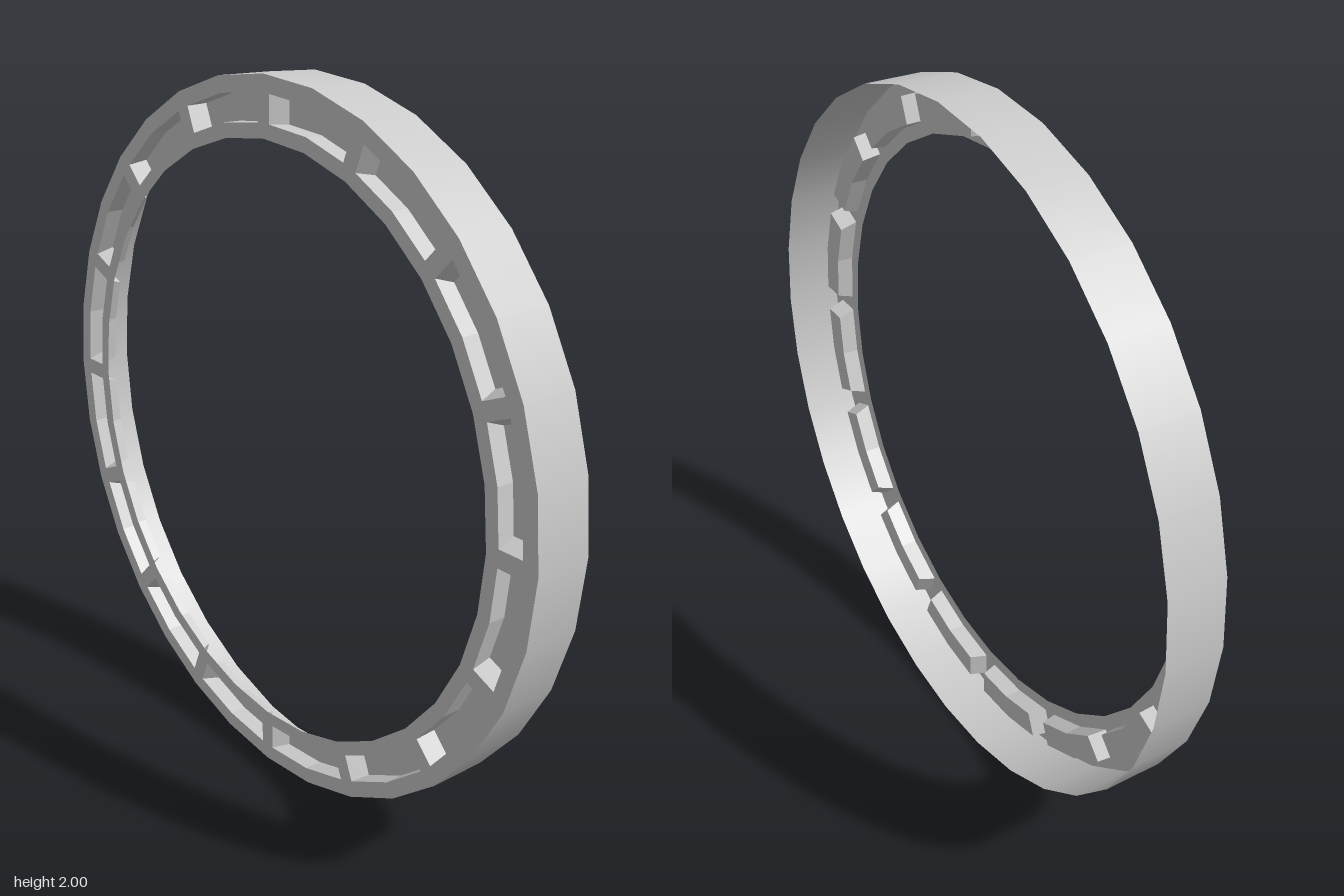
import * as THREE from 'three';

const SIDES = 32, STEP = (Math.PI * 2) / SIDES;
const HALF = 0.083;                   // half width of the ring along its axis
const R_OUT = 1, R_IN = 0.84;         // flange radii
const P_OUT = 0.955, P_IN = 0.88;     // pocket radii
const DEPTH = 0.05;                   // pocket depth
const BASE_GAP = 0.024, TOP_GAP = 0.042; // half gap between pockets at mouth and floor

const polar = (r, a) => new THREE.Vector2(r * Math.sin(a), r * Math.cos(a));
const polygon = (r) => Array.from({ length: SIDES }, (_, i) => polar(r, i * STEP));

// Six-cornered pocket outline, bent in the middle, with ends set off from the radial lines
function pocketOutline(gap, start) {
  const side = (r) => {
    const y = r - gap * Math.tan(STEP / 2);
    const len = Math.hypot(gap, y), a = Math.atan2(gap, y);
    return [polar(len, start + a), polar(r, start + STEP), polar(len, start + 2 * STEP - a)];
  };
  return [...side(P_OUT), ...side(P_IN).reverse()];
}

// Sloped walls between the mouth and floor outlines
function pocketWalls(base, top) {
  const pos = [];
  base.forEach((b, i) => {
    const j = (i + 1) % base.length;
    const p = [[b, 0], [top[i], DEPTH], [top[j], DEPTH], [base[j], 0]];
    for (const k of [0, 1, 2, 0, 2, 3]) pos.push(p[k][0].x, p[k][0].y, p[k][1]);
  });
  const g = new THREE.BufferGeometry();
  g.setAttribute('position', new THREE.Float32BufferAttribute(pos, 3));
  g.computeVertexNormals();
  return g;
}

export function createModel() {
  const smooth = new THREE.MeshStandardMaterial({ color: 0xcccccc, side: THREE.DoubleSide });
  const flat = new THREE.MeshStandardMaterial({ color: 0xcccccc, side: THREE.DoubleSide, flatShading: true });
  const ring = new THREE.Group();
  ring.name = 'ring';
  const add = (parent, name, geometry, material) => {
    const mesh = new THREE.Mesh(geometry, material);
    mesh.name = name;
    parent.add(mesh);
    return mesh;
  };

  // Open outer band
  const band = new THREE.CylinderGeometry(R_OUT, R_OUT, HALF * 2, SIDES, 1, true);
  band.rotateX(Math.PI / 2);
  add(ring, 'outerBand', band, smooth);

  // Flange on one side, pierced by the pocket mouths
  const flange = new THREE.Shape(polygon(R_OUT));
  flange.holes.push(new THREE.Path(polygon(R_IN)));

  // Pockets pressed inward from the flange
  for (let i = 0; i < SIDES / 2; i++) {
    const base = pocketOutline(BASE_GAP, i * 2 * STEP);
    const top = pocketOutline(TOP_GAP, i * 2 * STEP);
    flange.holes.push(new THREE.Path(base));
    const pocket = new THREE.Group();
    pocket.name = 'pocket';
    pocket.position.z = -HALF;
    add(pocket, 'pocketWalls', pocketWalls(base, top), flat);
    add(pocket, 'pocketFloor', new THREE.ShapeGeometry(new THREE.Shape(top)), flat).position.z = DEPTH;
    ring.add(pocket);
  }
  add(ring, 'flange', new THREE.ShapeGeometry(flange), flat).position.z = -HALF;

  // Stand upright with the axis along x
  ring.rotation.y = Math.PI / 2;
  ring.position.y = R_OUT;
  const model = new THREE.Group();
  model.name = 'pocketedRing';
  model.add(ring);
  return model;
}
